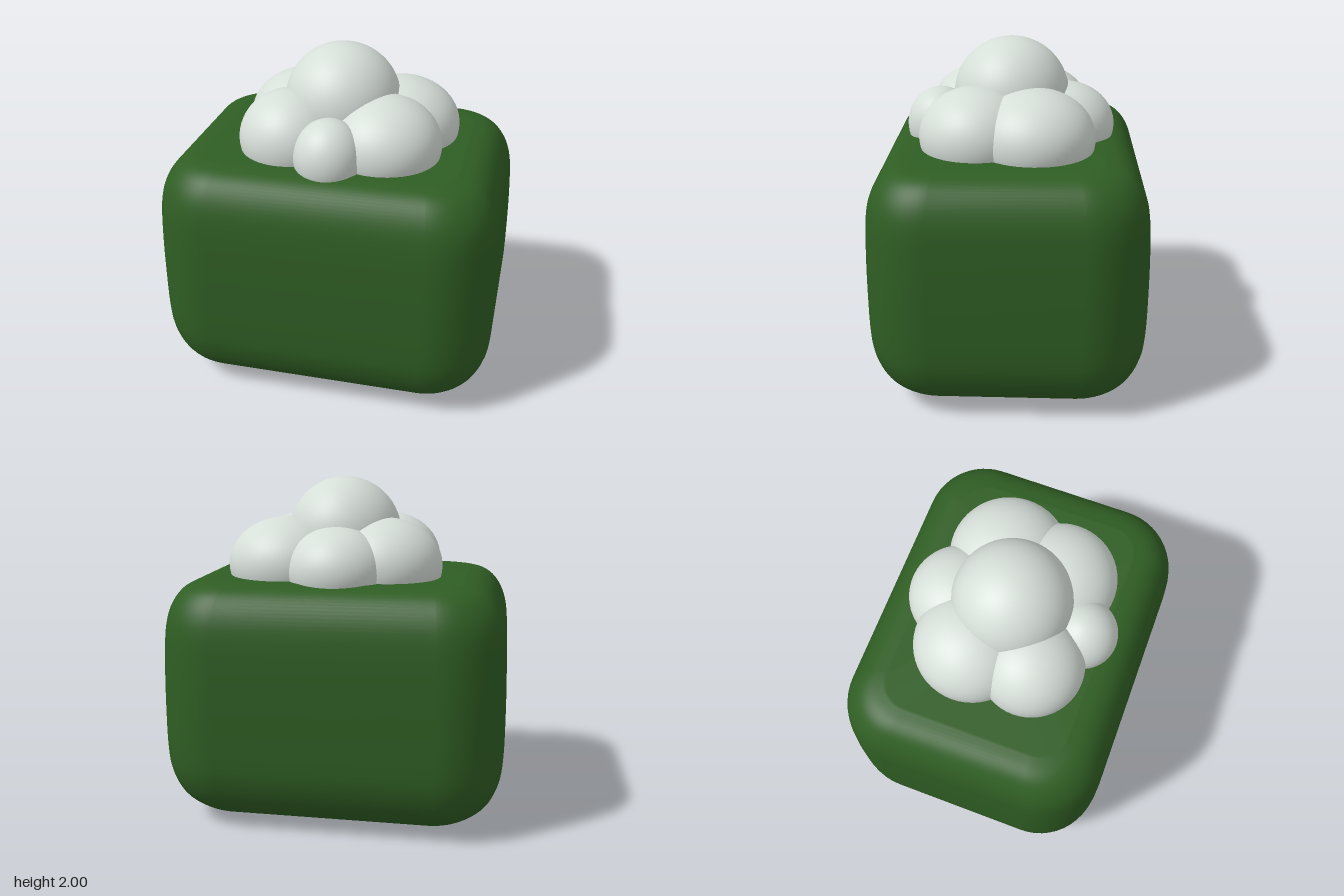
import * as THREE from 'three';

const green = new THREE.MeshStandardMaterial({ name: 'leafGreen', color: 0x2f5d23 });
const white = new THREE.MeshStandardMaterial({ name: 'creamWhite', color: 0xd6ded8 });

// Soft block made of stacked rounded rectangles; profile points are (inset, height)
function softBlock(halfX, halfZ, cornerRadius, profile) {
  const rows = new THREE.SplineCurve(profile.map(p => new THREE.Vector2(...p))).getPoints(60);
  const steps = 12;
  const n = 4 * (steps + 1);
  const positions = [];
  const index = [];
  for (const { x: inset, y } of rows) {
    const r = Math.max(cornerRadius - inset * 0.8, 0.08);
    for (let q = 0; q < 4; q++) {
      const sx = q === 0 || q === 3 ? 1 : -1;
      const sz = q < 2 ? 1 : -1;
      for (let s = 0; s <= steps; s++) {
        const a = (q + s / steps) * Math.PI / 2;
        positions.push(
          sx * (halfX - inset - r) + r * Math.cos(a),
          y,
          sz * (halfZ - inset - r) + r * Math.sin(a));
      }
    }
  }
  for (let j = 0; j < rows.length - 1; j++) {
    for (let i = 0; i < n; i++) {
      const a = j * n + i, b = j * n + (i + 1) % n;
      index.push(a, a + n, b, b, a + n, b + n);
    }
  }
  // Close the top and the bottom
  const bottom = positions.length / 3, top = bottom + 1, last = (rows.length - 1) * n;
  positions.push(0, rows[0].y, 0, 0, rows[rows.length - 1].y, 0);
  for (let i = 0; i < n; i++) {
    const k = (i + 1) % n;
    index.push(bottom, i, k, top, last + k, last + i);
  }
  const geometry = new THREE.BufferGeometry();
  geometry.setAttribute('position', new THREE.Float32BufferAttribute(positions, 3));
  geometry.setIndex(index);
  geometry.computeVertexNormals();
  return geometry;
}

export function createModel() {
  const model = new THREE.Group();
  model.name = 'creamToppedBlock';

  // Rounded body, with a wider curve underneath than on top
  const block = new THREE.Mesh(softBlock(0.995, 0.797, 0.37, [
    [0.39, 0.005], [0.29, 0.03], [0.18, 0.08], [0.08, 0.17], [0.022, 0.3], [0.003, 0.45],
    [0, 0.7], [0.004, 0.95], [0.016, 1.15], [0.045, 1.27], [0.1, 1.36], [0.17, 1.41], [0.26, 1.43],
  ]), green);
  block.name = 'block';
  model.add(block);

  // Cream: a ring of puffs around a crown; x, y, z, plan radius, vertical radius
  const cream = new THREE.Group();
  cream.name = 'cream';
  const puffs = [
    ['crown', 0, 1.66, 0, 0.34, 0.34],
    ['backRightPuff', -0.265, 1.49, -0.14, 0.335, 0.28],
    ['backLeftPuff', 0.325, 1.49, -0.14, 0.348, 0.28],
    ['frontRightPuff', -0.26, 1.49, 0.21, 0.302, 0.28],
    ['frontLeftPuff', 0.285, 1.49, 0.19, 0.33, 0.28],
    ['backPuff', -0.01, 1.48, -0.31, 0.3, 0.25],
    ['frontPuff', 0.015, 1.48, 0.42, 0.2, 0.22],
  ];
  const sphere = new THREE.SphereGeometry(1, 48, 32);
  for (const [name, x, y, z, r, ry] of puffs) {
    const puff = new THREE.Mesh(sphere, white);
    puff.name = name;
    puff.position.set(x, y, z);
    puff.scale.set(r, ry, r);
    cream.add(puff);
  }
  model.add(cream);
  return model;
}
